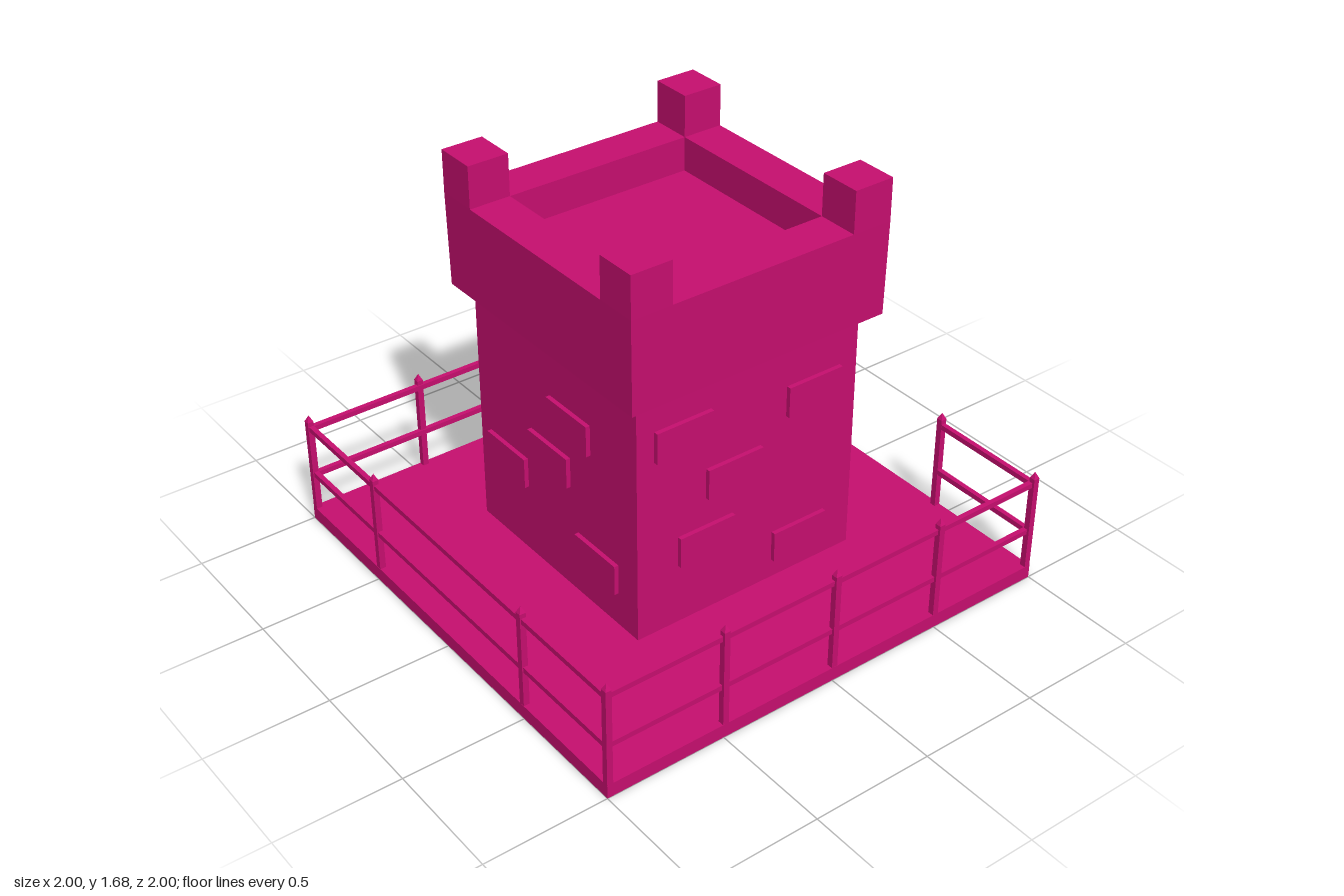
import * as THREE from 'three';

const material = new THREE.MeshStandardMaterial({ color: 0xc80f70, flatShading: true, side: THREE.DoubleSide });

export function createModel() {
  const model = new THREE.Group();

  const add = (name, geometry, parent = model) => {
    const mesh = new THREE.Mesh(geometry, material);
    mesh.name = name;
    parent.add(mesh);
    return mesh;
  };

  const group = (name) => {
    const g = new THREE.Group();
    g.name = name;
    model.add(g);
    return g;
  };

  // Box given by its centre and size
  const box = (name, [x, y, z], [w, h, d], parent) => {
    const mesh = add(name, new THREE.BoxGeometry(w, h, d), parent);
    mesh.position.set(x, y, z);
    return mesh;
  };

  // Square solid from [half width, height] pairs, listed from the bottom outwards and up
  const squareLathe = (profile) => {
    const points = profile.map(([r, y]) => new THREE.Vector2(r * Math.SQRT2, y));
    const geometry = new THREE.LatheGeometry(points, 4).rotateY(Math.PI / 4).toNonIndexed();
    geometry.computeVertexNormals();
    return geometry;
  };

  // Ground slab, hollow underneath
  add('groundSlab', squareLathe([[1, 0], [1, 0.057], [0, 0.057]]));

  // Tower body, raised a little above the slab
  box('towerBody', [0, 0.61, 0], [1, 1.01, 1]);

  // Flared parapet with a sunken roof
  add('parapet', squareLathe([
    [0, 1.105], [0.5, 1.105], [0.56, 1.13], [0.565, 1.51],
    [0.395, 1.51], [0.395, 1.37], [0, 1.37],
  ]));
  const merlons = group('merlons');
  for (const sx of [-1, 1]) {
    for (const sz of [-1, 1]) {
      box('merlon', [sx * 0.48, 1.595, sz * 0.48], [0.17, 0.17, 0.17], merlons);
    }
  }

  // Raised bricks: [position along the wall, height]
  const bricks = group('bricks');
  const walls = {
    front: [[-0.3, 0.92], [0.295, 0.875], [-0.07, 0.67], [-0.195, 0.425], [0.245, 0.25]],
    back: [[0.285, 0.51], [0.14, 0.35], [-0.25, 0.79], [-0.33, 0.275]],
    right: [[-0.265, 0.89], [-0.18, 0.705], [0.205, 0.59], [-0.365, 0.51], [-0.285, 0.347]],
    left: [[0.1, 0.83], [-0.03, 0.62], [-0.31, 0.463], [0.26, 0.312]],
  };
  for (const [u, y] of walls.front) box('frontBrick', [u, y, 0.5], [0.248, 0.127, 0.036], bricks);
  for (const [u, y] of walls.back) box('backBrick', [u, y, -0.5], [0.248, 0.127, 0.036], bricks);
  for (const [u, y] of walls.right) box('sideBrick', [0.49, y, u], [0.036, 0.127, 0.248], bricks);
  for (const [u, y] of walls.left) box('sideBrick', [-0.5, y, u], [0.036, 0.127, 0.248], bricks);

  // Door with a pointed arch
  const arch = new THREE.Shape();
  arch.moveTo(-0.11, 0.105);
  arch.lineTo(0.11, 0.105);
  arch.lineTo(0.11, 0.435);
  arch.lineTo(0.05, 0.5);
  arch.quadraticCurveTo(0.03, 0.533, 0, 0.535);
  arch.quadraticCurveTo(-0.03, 0.533, -0.05, 0.5);
  arch.lineTo(-0.11, 0.435);
  arch.closePath();
  const door = add('door', new THREE.ExtrudeGeometry(arch, { depth: 0.05, bevelEnabled: false, curveSegments: 4 }));
  door.rotation.y = Math.PI / 2;
  door.position.x = 0.48;

  // Fence: pointed posts and two rails, with an opening in front of the door
  const fence = group('fence');
  const edge = 0.987;
  const postGeometry = squareLathe([[0.0125, 0.05], [0.0125, 0.465], [0, 0.492]]);
  const post = (x, z) => add('fencePost', postGeometry, fence).position.set(x, 0, z);

  for (const s of [-1, 1]) {
    for (const x of [-edge, -0.49, 0.01, 0.506, edge]) post(x, s * edge);
    for (const z of [-0.495, 0.487]) post(s * edge, z);
  }
  for (const y of [0.22, 0.435]) {
    box('frontRail', [0, y, 0.98], [1.97, 0.022, 0.02], fence);
    box('backRail', [0, y, -0.98], [1.97, 0.022, 0.02], fence);
    box('leftRail', [-0.985, y, 0], [0.02, 0.022, 1.97], fence);
    for (const s of [-1, 1]) box('doorSideRail', [0.985, y, s * 0.738], [0.02, 0.022, 0.49], fence);
  }

  return model;
}
